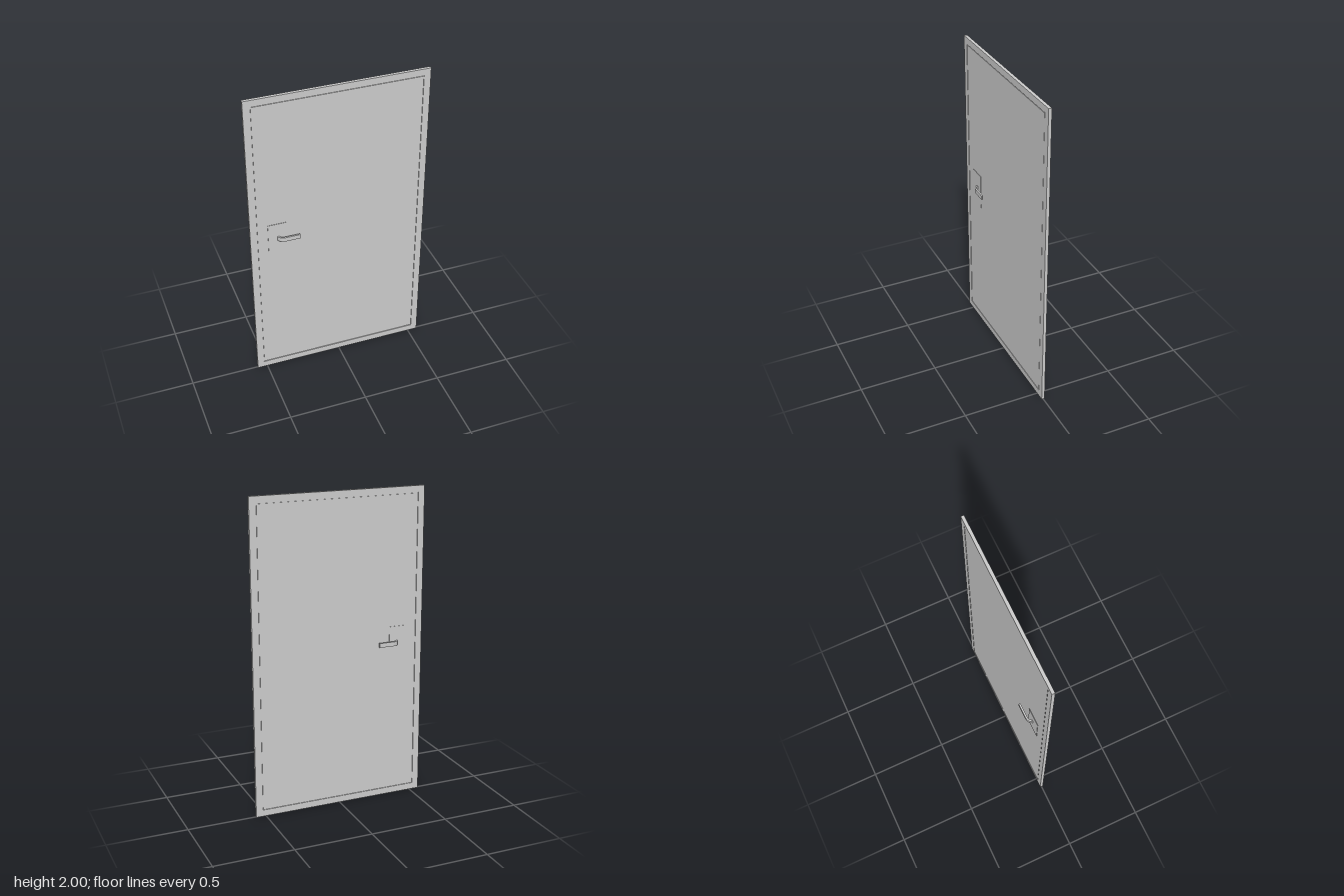
import * as THREE from 'three';

const material = new THREE.MeshStandardMaterial({ color: 0xcccccc, roughness: 0.7 });

function part(name, geometry, x = 0, y = 0, z = 0) {
  const mesh = new THREE.Mesh(geometry, material);
  mesh.name = name;
  mesh.position.set(x, y, z);
  return mesh;
}

function rectangle(target, halfW, y0, y1) {
  target.moveTo(-halfW, y0);
  target.lineTo(halfW, y0);
  target.lineTo(halfW, y1);
  target.lineTo(-halfW, y1);
  target.closePath();
  return target;
}

// Rectangular surround, open in the middle
function frameGeometry(halfW, height, border, depth) {
  const shape = rectangle(new THREE.Shape(), halfW, 0, height);
  shape.holes.push(rectangle(new THREE.Path(), halfW - border, border, height - border));
  return new THREE.ExtrudeGeometry(shape, { depth, bevelEnabled: false }).translate(0, 0, -depth / 2);
}

// Flat lever: leaves the plate, turns a quarter circle, then runs along the door
function leverGeometry(side) {
  const cx = -0.356, cz = 0.0005, outer = 0.041, inner = 0.03, tip = -0.258, r = 0.004, height = 0.028;
  const shape = new THREE.Shape();
  shape.moveTo(cx - outer, cz);
  shape.absarc(cx, cz, outer, Math.PI, Math.PI / 2, true);
  shape.lineTo(tip - r, cz + outer);
  shape.absarc(tip - r, cz + outer - r, r, Math.PI / 2, 0, true);
  shape.lineTo(tip, cz + inner + r);
  shape.absarc(tip - r, cz + inner + r, r, 0, -Math.PI / 2, true);
  shape.lineTo(cx, cz + inner);
  shape.absarc(cx, cz, inner, Math.PI / 2, Math.PI, false);
  shape.closePath();
  const geometry = new THREE.ExtrudeGeometry(shape, { depth: height, bevelEnabled: false, curveSegments: 12 });
  return geometry.rotateX(side * Math.PI / 2).translate(0, side * height / 2, 0);
}

export function createModel() {
  const door = new THREE.Group();
  door.name = 'door';

  // Surround and the slightly recessed leaf, with a narrow gap between them
  const halfW = 0.564, height = 2, border = 0.042, gap = 0.004;
  door.add(part('frame', frameGeometry(halfW, height, border, 0.02)));
  const inset = border + gap;
  door.add(part('leaf', new THREE.BoxGeometry(2 * (halfW - inset), height - 2 * inset, 0.018), 0, height / 2, 0));

  // Thin web closing the gap behind the reveal
  door.add(part('gapSeal', frameGeometry(halfW - border + 0.002, height, border + 0.002, 0.008)));
  door.getObjectByName('gapSeal').geometry.dispose();
  door.getObjectByName('gapSeal').geometry =
    new THREE.BoxGeometry(2 * (halfW - border), height - 2 * border, 0.01).translate(0, height / 2, 0);

  // Matching plate and lever on both faces
  for (const side of [1, -1]) {
    const handle = new THREE.Group();
    handle.name = side > 0 ? 'frontHandle' : 'backHandle';
    handle.add(part('plate', new THREE.BoxGeometry(0.114, 0.23, 0.004), -0.396, 1.015, side * 0.0095));
    handle.add(part('lever', leverGeometry(side), 0, 1.025, 0));
    door.add(handle);
  }
  return door;
}
